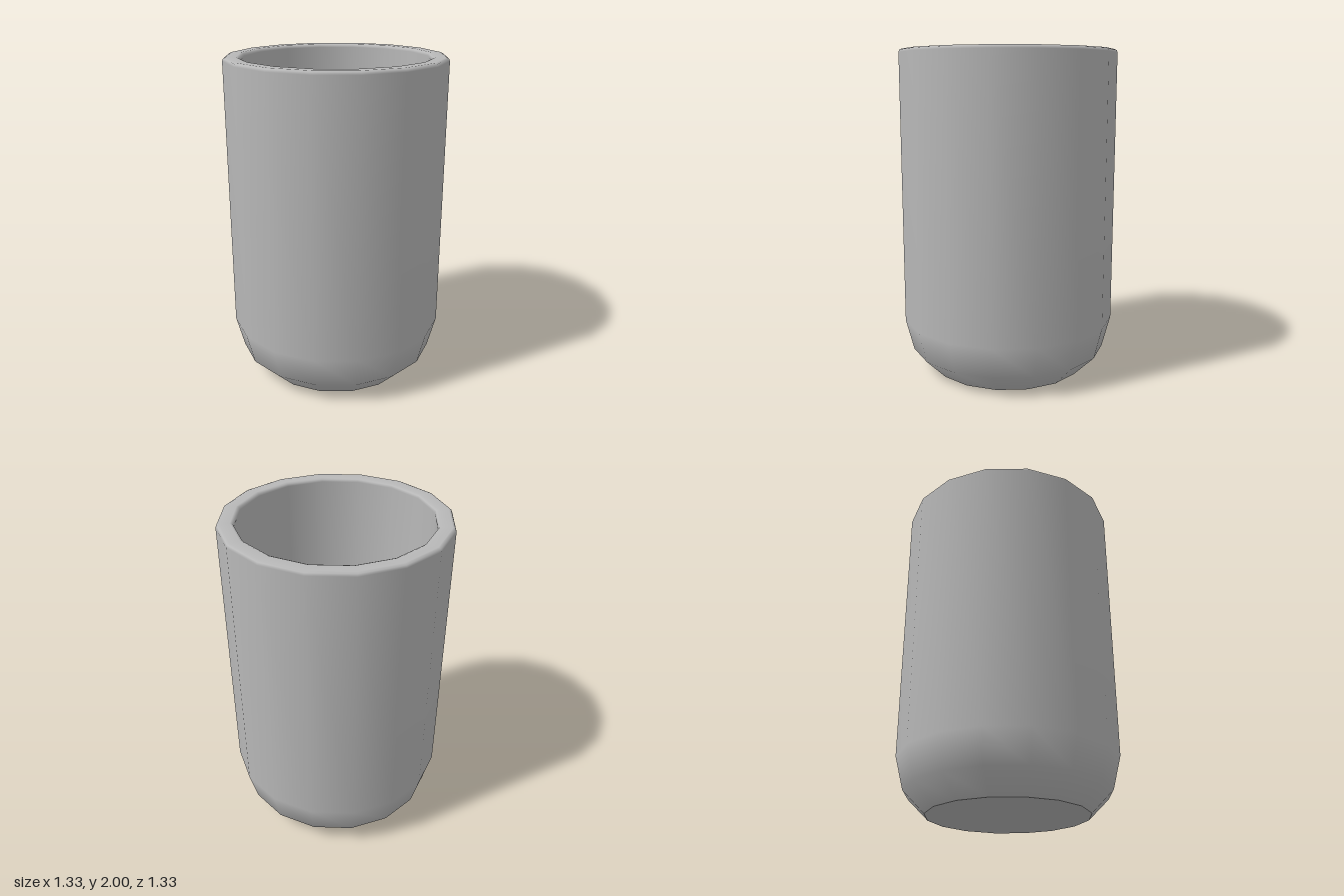
import * as THREE from 'three';

const SIDES = 16;

// Turned part from [radius, height] pairs, smooth along the profile
function turned(name, points, material) {
  const profile = points.map(([r, y]) => new THREE.Vector2(r, y));
  const mesh = new THREE.Mesh(new THREE.LatheGeometry(profile, SIDES), material);
  mesh.name = name;
  return mesh;
}

export function createModel() {
  const group = new THREE.Group();
  group.name = 'cup';
  const grey = new THREE.MeshStandardMaterial({ color: 0xb8b8b8 });
  grey.name = 'grey';

  // Flat underside, with a sharp edge to the wall
  group.add(turned('base', [[0, 0], [0.485, 0]], grey));

  // Rounded foot, straight wall, softened rim, hollow inside and floor
  group.add(turned('body', [
    [0.485, 0], [0.615, 0.13], [0.665, 0.325],
    [0.665, 1.98], [0.659, 1.994], [0.645, 2],
    [0.585, 2], [0.571, 1.994], [0.565, 1.98],
    [0.565, 0.335], [0.527, 0.185], [0.44, 0.1], [0, 0.1],
  ], grey));

  return group;
}
